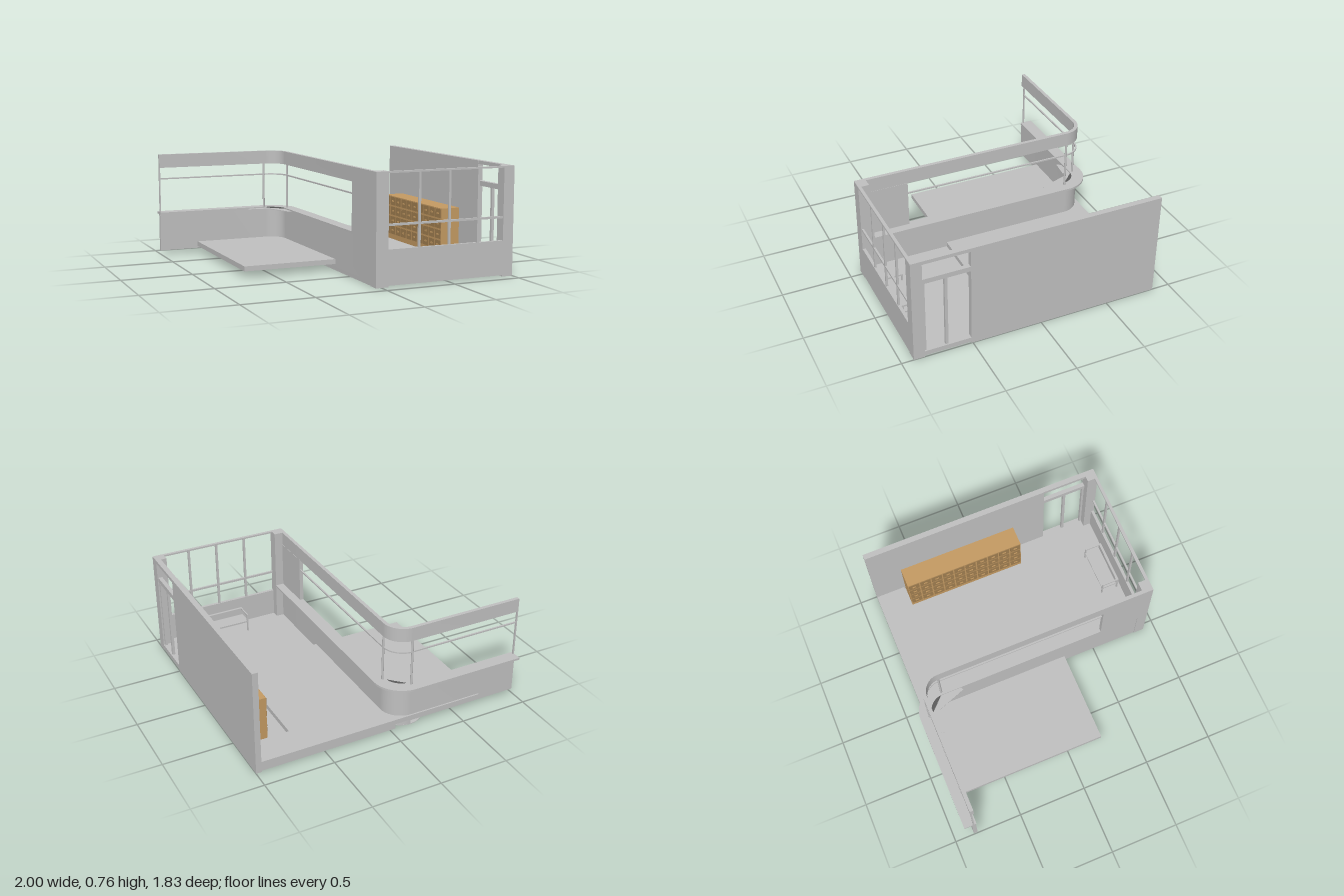
import * as THREE from 'three';
import { toCreasedNormals } from 'three/addons/utils/BufferGeometryUtils.js';

const make = (name, color, side = THREE.FrontSide) => {
  const m = new THREE.MeshStandardMaterial({ color, side });
  m.name = name;
  return m;
};

export function createModel() {
  const model = new THREE.Group();
  model.name = 'cornerRoom';
  const grey = make('plaster grey', 0xc0c0c0);
  const wood = make('light wood', 0xc49a62);
  const drawerWood = make('shaded wood', 0xa07e50);
  const shade = make('dark grey', 0x5c5c5c, THREE.DoubleSide);

  const add = (name, geometry, material = grey) => {
    const mesh = new THREE.Mesh(geometry, material);
    mesh.name = name;
    model.add(mesh);
    return mesh;
  };
  // Box given by its limits on each axis
  const box = (name, x0, x1, y0, y1, z0, z1, material) => {
    const g = new THREE.BoxGeometry(x1 - x0, y1 - y0, z1 - z0);
    g.translate((x0 + x1) / 2, (y0 + y1) / 2, (z0 + z1) / 2);
    return add(name, g, material);
  };
  // Plan shape (x, -z) raised from y0 to y1
  const raise = (name, shape, y0, y1, material) => {
    let g = new THREE.ExtrudeGeometry(shape, { depth: y1 - y0, bevelEnabled: false, curveSegments: 20 });
    g.rotateX(-Math.PI / 2).translate(0, y0, 0);
    return add(name, toCreasedNormals(g, 0.5), material);
  };
  const plan = pts => new THREE.Shape(pts.map(([x, z]) => new THREE.Vector2(x, -z)));

  // Strip that follows the arm, turns the rounded corner and runs to the front
  const cx = -0.16, cz = -0.705;
  const bend = (name, r0, r1, y0, y1, zEnd, xStart = -1) => {
    const s = new THREE.Shape();
    s.moveTo(xStart, -cz + r1);
    s.lineTo(cx, -cz + r1);
    s.absarc(cx, -cz, r1, Math.PI / 2, 0, true);
    s.lineTo(cx + r1, -zEnd);
    s.lineTo(cx + r0, -zEnd);
    s.lineTo(cx + r0, -cz);
    s.absarc(cx, -cz, r0, 0, Math.PI / 2, false);
    s.lineTo(xStart, -cz + r0);
    return raise(name, s, y0, y1);
  };

  // Floors
  box('floor', -0.035, 1, 0.01, 0.045, -0.87, 0.905);
  raise('raisedFloor', plan([[-0.71, -0.87], [0.96, -0.87], [0.96, -0.65], [0.66, -0.65],
    [0.66, 0.26], [-0.71, 0.26]]), 0.045, 0.08);
  const disc = new THREE.CylinderGeometry(0.155, 0.155, 0.004, 40);
  disc.translate(cx, 0.002, cz);
  add('cornerBaseDisc', disc);

  // Bent wall with its ledge, rail and header
  bend('bentWallBase', 0.125, 0.154, 0, 0.03, 0.84, cx);
  bend('bentWall', 0.125, 0.154, 0.03, 0.305, 0.84);
  bend('bentLedge', 0.12, 0.21, 0.305, 0.32, 0.84);
  bend('bentRail', 0.135, 0.146, 0.57, 0.58, 0.54);
  bend('bentHeader', 0.12, 0.146, 0.66, 0.76, 0.84);
  box('sideWallPanel', -0.04, -0.012, 0.32, 0.66, 0.54, 0.84);
  box('armEndPost', -1, -0.99, 0.32, 0.66, cz - 0.146, cz - 0.135);
  for (const [x, z] of [[cx, cz - 0.141], [cx + 0.141, cz]]) {
    const rod = new THREE.CylinderGeometry(0.008, 0.008, 0.34, 12);
    rod.translate(x, 0.49, z);
    add('cornerRod', rod);
  }

  // Thin plates resting at the rounded corner
  const segment = new THREE.Shape();
  segment.absarc(cx, -cz, 0.132, 0, Math.PI / 2, false);
  raise('cornerShadePlate', segment, 0.312, 0.318, shade);
  raise('cornerPlate', plan([[-0.31, -0.79], [-0.14, -0.77], [-0.06, -0.55], [-0.04, -0.56],
    [-0.03, -0.7], [-0.16, -0.835], [-0.29, -0.82]]), 0.306, 0.311);

  // Long solid wall
  box('longWall', 0.96, 1, 0, 0.76, -0.87, 0.51);

  // Front wall, corner posts and window grid
  for (const [x0, x1] of [[-0.04, 0.05], [0.92, 1]]) box('frontPost', x0, x1, 0, 0.76, 0.838, 0.915);
  box('frontSill', 0.05, 0.92, 0.01, 0.25, 0.893, 0.915);
  box('frontTopRail', 0.05, 0.92, 0.748, 0.76, 0.893, 0.915);
  box('frontCrossRail', 0.05, 0.92, 0.403, 0.418, 0.897, 0.911);
  for (const x of [0.28, 0.505, 0.725])
    box('frontMullion', x - 0.008, x + 0.008, 0.25, 0.748, 0.897, 0.911);

  // Doorway beside the long wall
  box('doorTopBeam', 0.962, 1, 0.735, 0.76, 0.51, 0.838);
  box('doorTransomBar', 0.965, 0.995, 0.582, 0.617, 0.51, 0.838);
  box('doorMullion', 0.97, 0.99, 0.02, 0.582, 0.668, 0.688);
  box('doorJamb', 0.97, 0.99, 0.045, 0.582, 0.822, 0.838);

  // Drawer cabinet with a grid of fronts and pulls
  box('cabinet', 0.812, 0.96, 0.045, 0.39, -0.64, 0.26, wood);
  const rows = 4, cols = 10, w = 0.9 / cols, h = 0.31 / rows;
  for (let r = 0; r < rows; r++) for (let c = 0; c < cols; c++) {
    const z = -0.64 + (c + 0.5) * w, y = 0.08 + (r + 0.5) * h;
    box('drawerFront', 0.808, 0.813, y - h * 0.42, y + h * 0.42, z - w * 0.44, z + w * 0.44, drawerWood);
    box('drawerPull', 0.804, 0.809, y - 0.006, y + 0.006, z - 0.014, z + 0.014, wood);
  }

  // Low bench under the front window
  box('benchSeat', 0.34, 0.67, 0.12, 0.132, 0.735, 0.85);
  box('benchBack', 0.34, 0.67, 0.12, 0.185, 0.85, 0.868);
  for (const x of [0.34, 0.66]) {
    box('benchArm', x, x + 0.01, 0.173, 0.185, 0.735, 0.85);
    for (const z of [0.735, 0.858]) box('benchLeg', x, x + 0.01, 0.045, z < 0.8 ? 0.173 : 0.12, z, z + 0.01);
  }
  return model;
}
